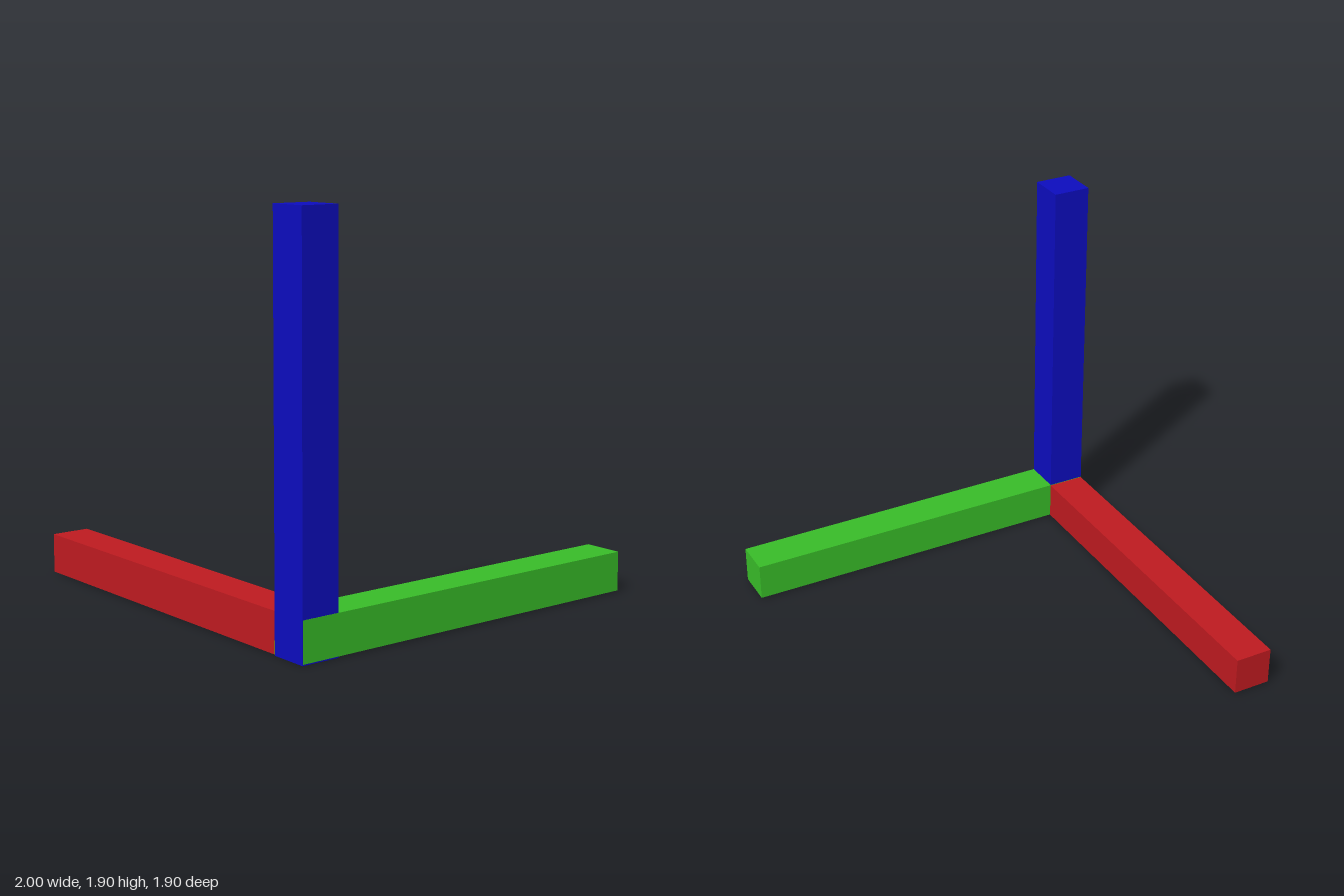
import * as THREE from 'three';

// Box bar given by its lower and upper corners
function bar(name, color, min, max) {
  const size = max.map((v, i) => v - min[i]);
  const mesh = new THREE.Mesh(
    new THREE.BoxGeometry(...size),
    new THREE.MeshStandardMaterial({ color, flatShading: true })
  );
  mesh.position.set(...max.map((v, i) => (v + min[i]) / 2));
  mesh.name = name;
  return mesh;
}

export function createModel() {
  const group = new THREE.Group();
  group.name = 'axisMarker';

  // Three square bars meeting in one corner; tiny offsets keep overlapping faces apart
  group.add(
    bar('uprightBar', 0x0c0cbe, [0.808, 0, 0.76], [0.999, 1.9, 0.95]),
    bar('sidewaysBar', 0xbe1a20, [-1, 0.004, 0.758], [0.9, 0.194, 0.948]),
    bar('depthBar', 0x38bc28, [0.806, 0.006, -0.95], [1, 0.195, 0.949])
  );
  return group;
}
